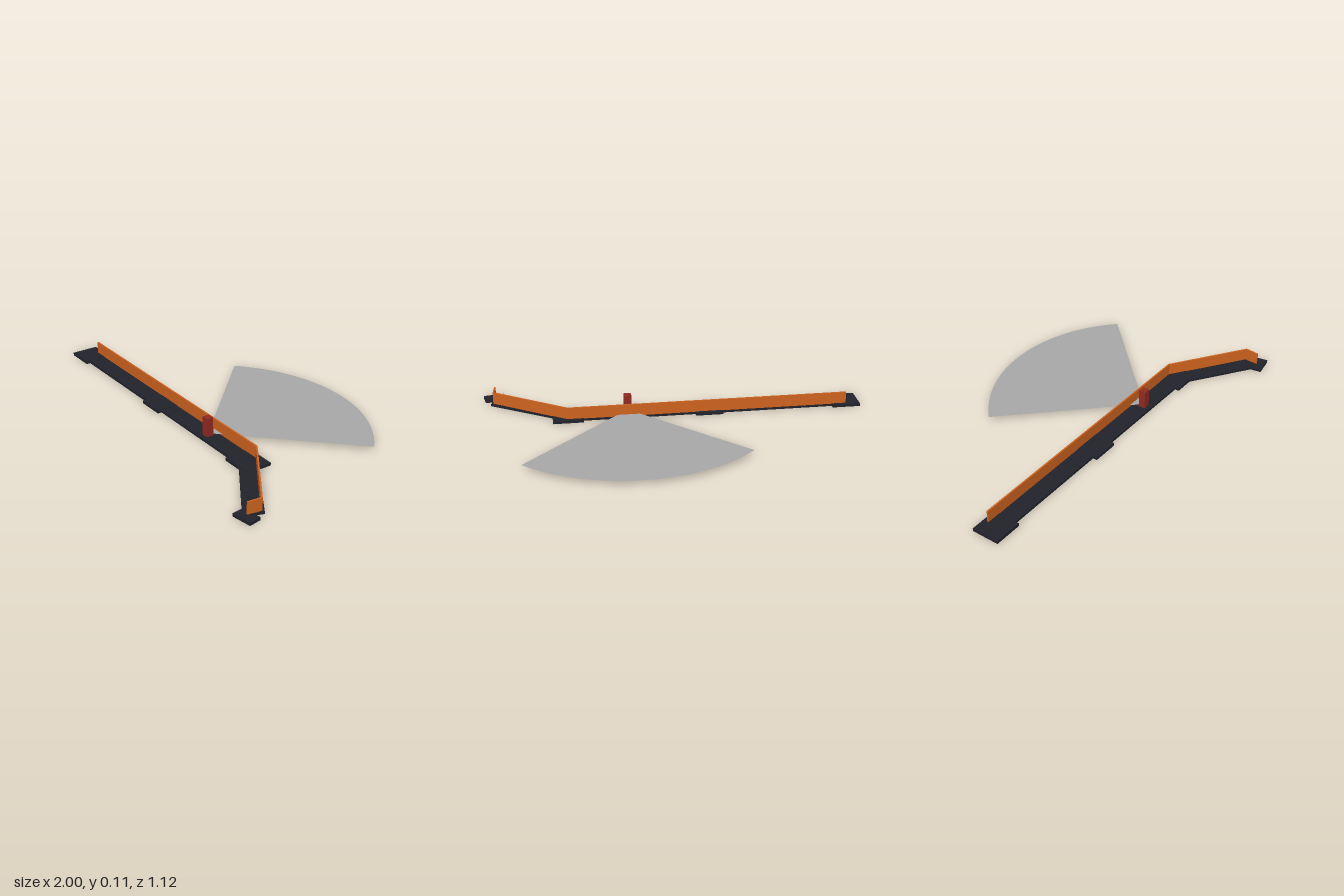
import * as THREE from 'three';

const mat = (name, color, side = THREE.FrontSide) => {
  const m = new THREE.MeshStandardMaterial({ color, side });
  m.name = name;
  return m;
};

export function createModel() {
  const group = new THREE.Group();
  const charcoal = mat('charcoal base', 0x22222c);
  const orange = mat('orange wall', 0xd0641f);
  const red = mat('red post', 0x922b21);
  const grey = mat('grey sector', 0xa9a9a9, THREE.DoubleSide);

  const add = (name, geometry, material) => {
    const mesh = new THREE.Mesh(geometry, material);
    mesh.name = name;
    group.add(mesh);
    return mesh;
  };
  // Upright prism from a plan outline of [x, z] points
  const slab = (name, points, y0, y1, material) => {
    const shape = new THREE.Shape(points.map(([x, z]) => new THREE.Vector2(x, -z)));
    const g = new THREE.ExtrudeGeometry(shape, { depth: y1 - y0, bevelEnabled: false });
    g.rotateX(-Math.PI / 2).translate(0, y0, 0);
    return add(name, g, material);
  };

  // Walkway: straight run, angled run and short end
  slab('walkway', [
    [-0.99, 0.177], [0.56, 0.177], [0.96, 0.433], [0.935, 0.5],
    [0.935, 0.535], [0.58, 0.295], [0.56, 0.278], [-0.99, 0.278],
  ], 0, 0.013, charcoal);

  // Wider pads under the joints
  for (const [x0, x1] of [[-1, -0.85], [-0.255, -0.11], [0.48, 0.64]]) {
    slab('pad', [[x0, 0.156], [x1, 0.156], [x1, 0.3], [x0, 0.3]], 0, 0.015, charcoal);
  }
  slab('endPad', [[0.885, 0.493], [0.988, 0.477], [1, 0.541], [0.895, 0.558]], 0, 0.015, charcoal);

  // Thin wall following the bend
  slab('wall', [
    [-0.925, 0.177], [0.565, 0.177], [0.948, 0.436], [0.941, 0.51],
    [0.933, 0.51], [0.939, 0.44], [0.562, 0.185], [-0.925, 0.185],
  ], 0.013, 0.077, orange);

  // Post in front of the wall
  const post = add('post', new THREE.BoxGeometry(0.038, 0.097, 0.036), red);
  post.position.set(0.244, 0.0615, 0.236);

  // Flat quarter sector spreading to the back from the post
  const sector = add('viewSector',
    new THREE.CircleGeometry(0.8, 48, Math.PI / 4, Math.PI / 2).rotateX(-Math.PI / 2), grey);
  sector.position.set(0.244, 0.022, 0.236);

  return group;
}
